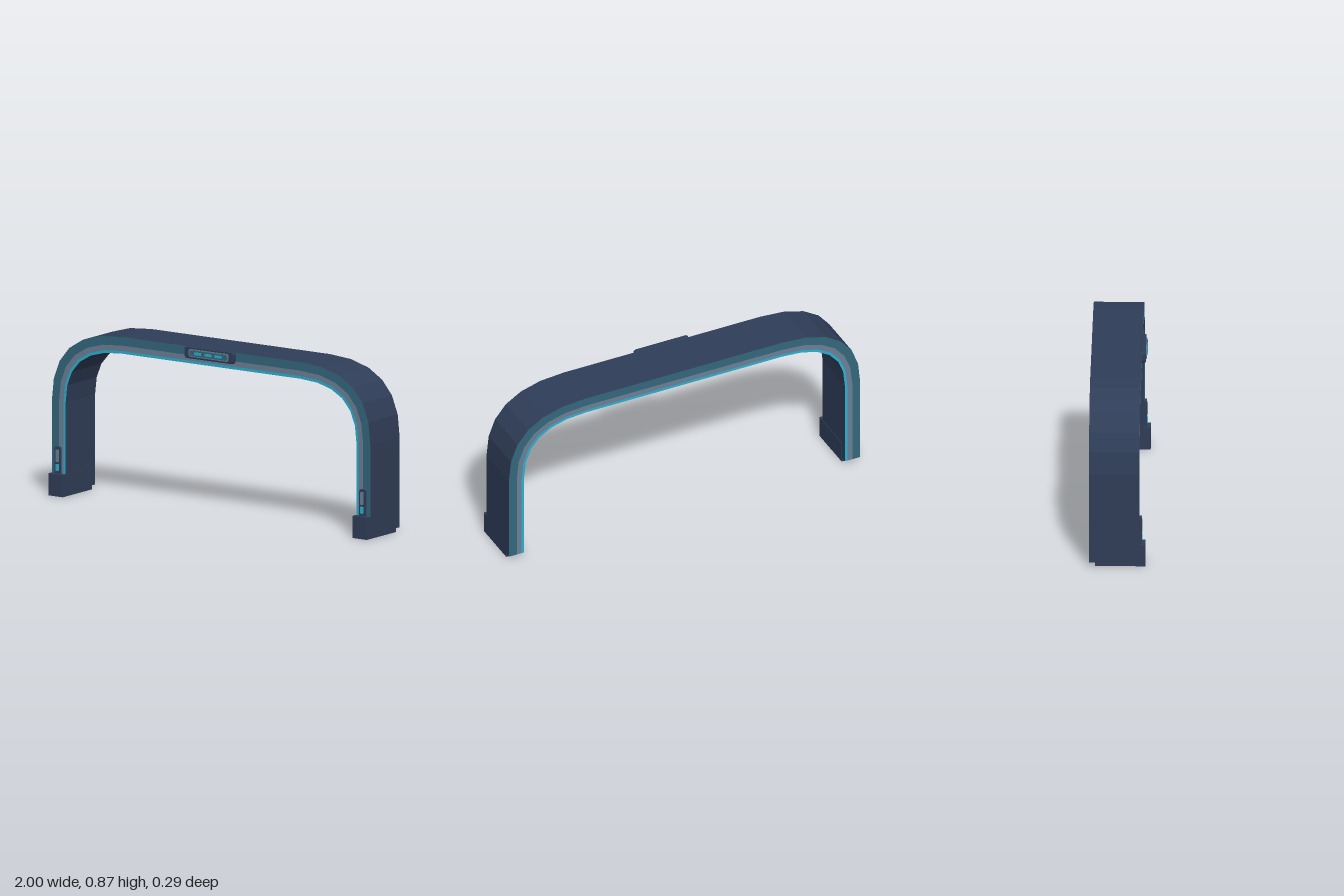
import * as THREE from 'three';

const mat = (name, color) => {
  const m = new THREE.MeshStandardMaterial({ color });
  m.name = name;
  return m;
};

export function createModel() {
  const navy = mat('navy shell', 0x2f3d58);
  const teal = mat('teal trim', 0x34677d);
  const grey = mat('slate grey', 0x6b7f95);
  const cyan = mat('cyan light', 0x2ab0d0);
  const group = new THREE.Group();

  const add = (name, geometry, material, x = 0, y = 0, z = 0) => {
    const m = new THREE.Mesh(geometry, material);
    m.name = name;
    m.position.set(x, y, z);
    group.add(m);
    return m;
  };

  // Arch outline, moved inward by d: leg, faceted bend, top, mirrored
  const outline = (d) => {
    const bend = new THREE.QuadraticBezierCurve(
      new THREE.Vector2(1 - d, 0.49),
      new THREE.Vector2(1 - d, 0.87 - d),
      new THREE.Vector2(0.56, 0.87 - d));
    const half = [new THREE.Vector2(1 - d, 0.02), ...bend.getPoints(6)];
    const mirrored = half.map((p) => new THREE.Vector2(-p.x, p.y)).reverse();
    return [...half, ...mirrored];
  };

  // Nested bands: coloured front and back edges, navy inside and outside
  const band = (name, d0, d1, edge) => {
    const shape = new THREE.Shape([...outline(d0), ...outline(d1).reverse()]);
    const geo = new THREE.ExtrudeGeometry(shape, { depth: 0.257, bevelEnabled: false });
    add(name, geo, [edge, navy], 0, 0, -0.141);
  };
  band('outerArchBand', 0, 0.045, teal);
  band('middleArchBand', 0.045, 0.073, grey);
  band('innerArchBand', 0.073, 0.087, cyan);

  // Plate with rounded corners, its back at z = 0
  const plate = (w, h, depth, r, bevel = 0) => {
    const s = new THREE.Shape();
    const x = w / 2 - bevel, y = h / 2 - bevel;
    s.moveTo(-x + r, -y);
    s.lineTo(x - r, -y);
    s.quadraticCurveTo(x, -y, x, -y + r);
    s.lineTo(x, y - r);
    s.quadraticCurveTo(x, y, x - r, y);
    s.lineTo(-x + r, y);
    s.quadraticCurveTo(-x, y, -x, y - r);
    s.lineTo(-x, -y + r);
    s.quadraticCurveTo(-x, -y, -x + r, -y);
    const geo = new THREE.ExtrudeGeometry(s, {
      depth: depth - 2 * bevel, bevelEnabled: bevel > 0, bevelSize: bevel,
      bevelThickness: bevel, bevelSegments: 1, curveSegments: 4,
    });
    return geo.translate(0, 0, bevel);
  };

  // Feet and leg indicators
  for (const [side, s] of [['left', 1], ['right', -1]]) {
    add(side + 'Foot', new THREE.BoxGeometry(0.09, 0.115, 0.257), navy, s * 0.955, 0.0575, 0.0185);
    add(side + 'IndicatorFrame', plate(0.036, 0.15, 0.014, 0.012), navy, s * 0.957, 0.18, 0.114);
    add(side + 'IndicatorSlot', plate(0.02, 0.066, 0.005, 0.006), grey, s * 0.957, 0.208, 0.127);
    add(side + 'IndicatorLight', plate(0.02, 0.036, 0.005, 0.005), cyan, s * 0.957, 0.147, 0.127);
  }

  // Status panel at the top centre
  const y = 0.843;
  add('panelFrame', plate(0.31, 0.06, 0.024, 0.014, 0.003), navy, 0, y, 0.113);
  add('panelRim', plate(0.25, 0.04, 0.006, 0.014), grey, 0, y, 0.135);
  add('panelFace', plate(0.234, 0.03, 0.004, 0.01), teal, 0, y, 0.139);
  for (const x of [-0.064, 0, 0.064]) {
    add('panelLight', plate(0.042, 0.014, 0.004, 0.003), cyan, x, y, 0.1415);
  }

  return group;
}
